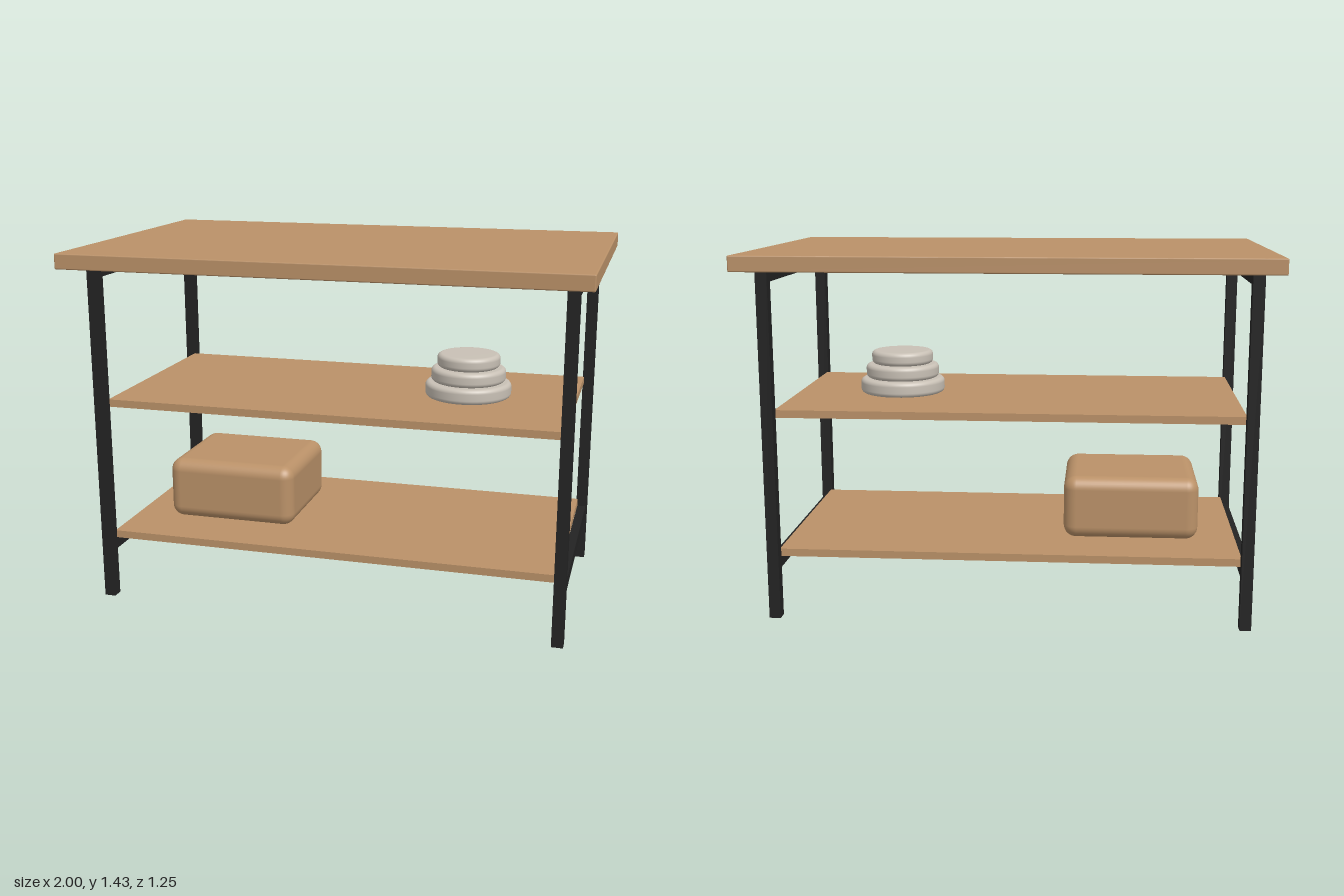
import * as THREE from 'three';
import { RoundedBoxGeometry } from 'three/addons/geometries/RoundedBoxGeometry.js';

export function createModel() {
  const model = new THREE.Group();
  model.name = 'kitchenIsland';

  const material = (name, color) => {
    const m = new THREE.MeshStandardMaterial({ color });
    m.name = name;
    return m;
  };
  const wood = material('wood', 0xba9168);
  const metal = material('blackMetal', 0x232323);
  const ceramic = material('ceramic', 0xc8c0b5);

  const add = (name, geometry, mat, x, y, z) => {
    const mesh = new THREE.Mesh(geometry, mat);
    mesh.name = name;
    mesh.position.set(x, y, z);
    model.add(mesh);
    return mesh;
  };
  const box = (name, w, h, d, mat, x, y, z) =>
    add(name, new THREE.BoxGeometry(w, h, d), mat, x, y, z);

  // Worktop with slightly eased edges
  add('worktop', new RoundedBoxGeometry(2, 0.06, 1.25, 2, 0.005), wood, 0, 1.4, 0);

  // Two shelves held between the legs
  box('lowerShelf', 1.8, 0.03, 0.89, wood, 0, 0.257, 0);
  box('upperShelf', 1.8, 0.03, 0.89, wood, 0, 0.813, 0);

  // Metal end frames: two legs joined by a top and a bottom rail
  const bar = 0.045;
  for (const sx of [1, -1]) {
    const side = sx > 0 ? 'left' : 'right';
    const x = sx * 0.9175;
    for (const sz of [1, -1]) {
      box(side + (sz > 0 ? 'FrontLeg' : 'BackLeg'), bar, 1.37, bar, metal, x, 0.685, sz * 0.467);
    }
    box(side + 'TopRail', 0.035, 0.05, 0.889, metal, x, 1.345, 0);
    box(side + 'BottomRail', 0.035, 0.05, 0.889, metal, x, 0.216, 0);
  }

  // Rounded storage box on the lower shelf
  add('storageBox', new RoundedBoxGeometry(0.54, 0.253, 0.474, 5, 0.05), wood, -0.478, 0.3985, 0);

  // Stack of round-edged dishes on the upper shelf
  const dish = (radius, height, bevel) => {
    const points = [new THREE.Vector2(0, 0)];
    const arc = (cy, start) => {
      for (let i = 0; i <= 6; i++) {
        const a = start + (i / 6) * Math.PI / 2;
        points.push(new THREE.Vector2(radius - bevel + bevel * Math.cos(a), cy + bevel * Math.sin(a)));
      }
    };
    arc(bevel, -Math.PI / 2);
    arc(height - bevel, 0);
    points.push(new THREE.Vector2(0, height));
    return new THREE.LatheGeometry(points, 48);
  };
  [[0.173, 0.828, 0.062], [0.15, 0.89, 0.058], [0.126, 0.948, 0.055]].forEach(([r, y, h], i) => {
    add('dish' + (i + 1), dish(r, h, 0.018), ceramic, 0.473, y, 0);
  });

  return model;
}
